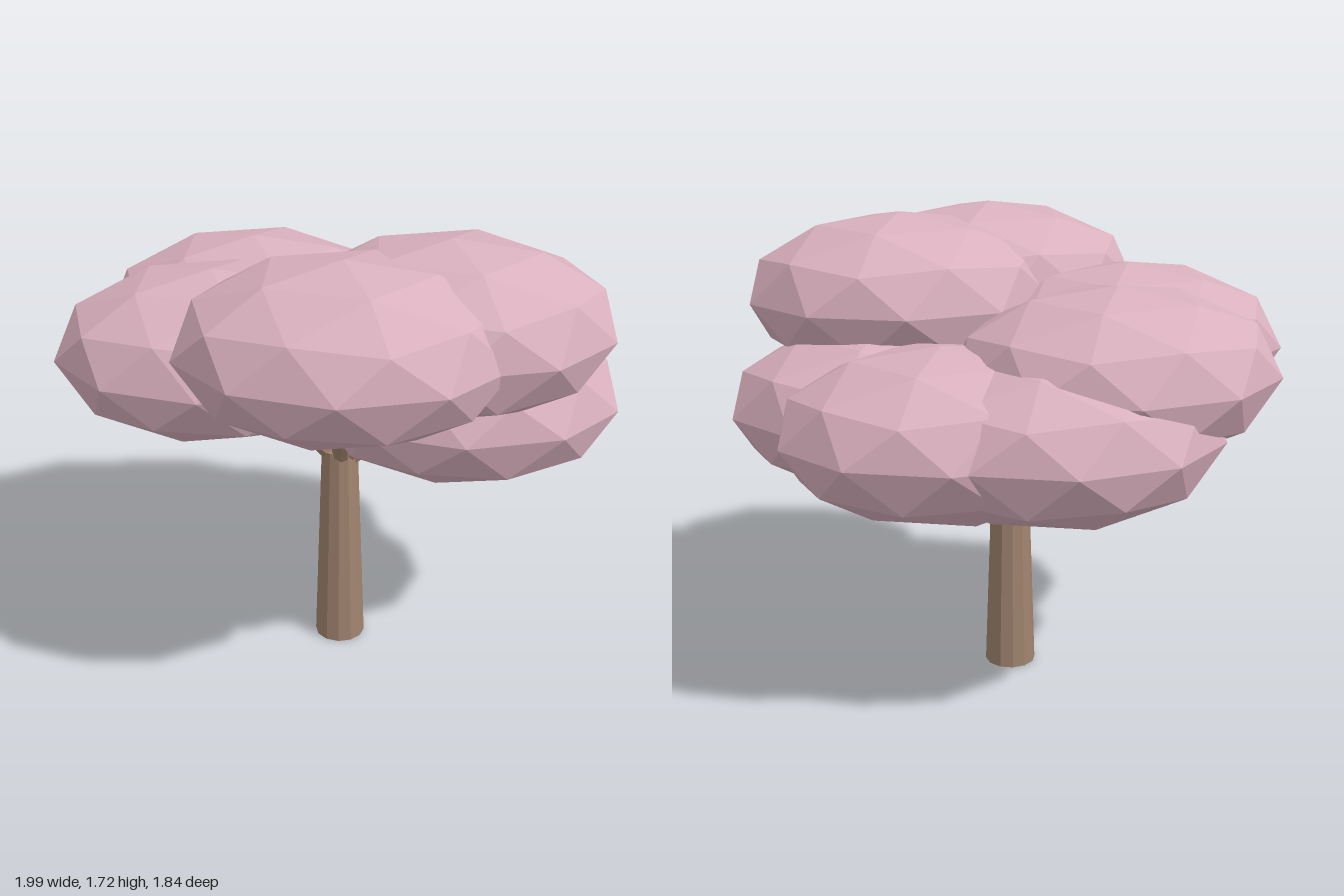
import * as THREE from 'three';

export function createModel() {
  const tree = new THREE.Group();
  tree.name = 'tree';

  const blossom = new THREE.MeshStandardMaterial({ color: 0xd9b0be, flatShading: true });
  blossom.name = 'blossom pink';
  const bark = new THREE.MeshStandardMaterial({ color: 0xa0836f, flatShading: true });
  bark.name = 'bark brown';

  // Tapered trunk
  const trunk = new THREE.Mesh(new THREE.CylinderGeometry(0.068, 0.096, 0.82, 12), bark);
  trunk.name = 'trunk';
  trunk.position.set(-0.005, 0.41, -0.005);
  tree.add(trunk);

  // Flattened faceted puff, standing on a vertex so its equator is a level ring
  const puff = new THREE.IcosahedronGeometry(1, 1);
  puff.rotateX(-Math.atan((1 + Math.sqrt(5)) / 2));
  puff.rotateY(Math.PI / 2);
  puff.scale(0.578, 0.303, 0.47);
  puff.computeVertexNormals();

  // Canopy: puffs in three tiers, each reached by its own branch
  const centres = [
    [0.03, 1.42, 0.45],
    [0.38, 1.42, 0.22],
    [-0.45, 1.245, 0.07],
    [-0.34, 1.24, -0.32],
    [0.27, 1.06, -0.375],
    [-0.12, 1.06, -0.45],
    [0.445, 1.06, -0.01],
  ];
  const fork = new THREE.Vector3(0, 0.76, 0);
  const up = new THREE.Vector3(0, 1, 0);

  centres.forEach((c, i) => {
    const centre = new THREE.Vector3(...c);
    const leaves = new THREE.Mesh(puff, blossom);
    leaves.name = `foliage${i + 1}`;
    leaves.position.copy(centre);
    tree.add(leaves);

    const direction = centre.clone().sub(fork);
    const branch = new THREE.Mesh(
      new THREE.CylinderGeometry(0.022, 0.036, direction.length(), 8), bark);
    branch.name = `branch${i + 1}`;
    branch.position.copy(fork).addScaledVector(direction, 0.5);
    branch.quaternion.setFromUnitVectors(up, direction.normalize());
    tree.add(branch);
  });

  return tree;
}
